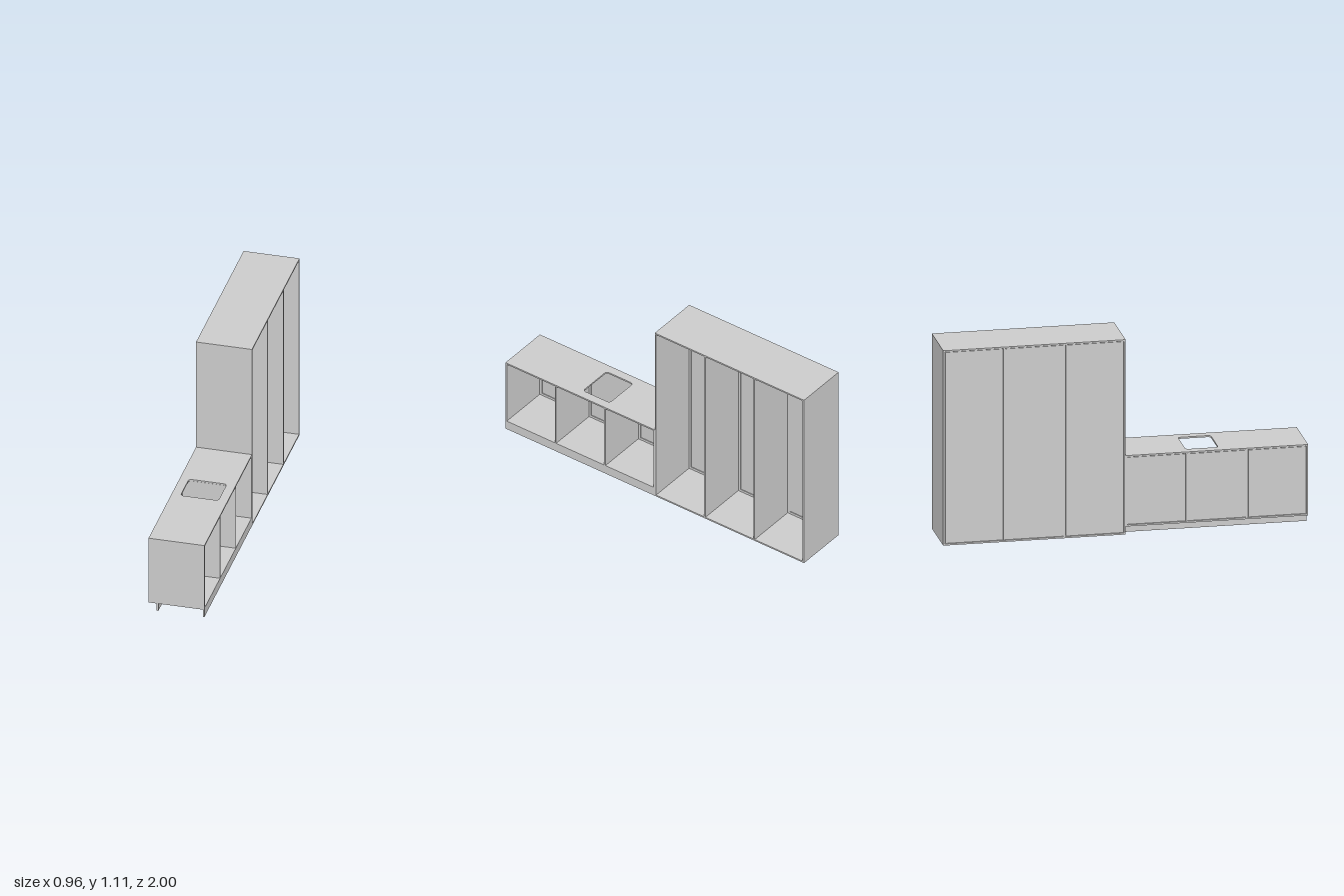
import * as THREE from 'three';

const HALF_L = 1.005, HALF_D = 0.156, T = 0.009;

export function createModel() {
  const model = new THREE.Group();
  model.name = 'cabinetRow';
  const mat = new THREE.MeshStandardMaterial({ color: 0xcccccc });

  // Box given by its limits: x is depth (open side +x), z runs along the row
  function board(parent, name, x0, x1, y0, y1, z0, z1) {
    const m = new THREE.Mesh(new THREE.BoxGeometry(x1 - x0, y1 - y0, z1 - z0), mat);
    m.position.set((x0 + x1) / 2, (y0 + y1) / 2, (z0 + z1) / 2);
    m.name = name;
    parent.add(m);
  }

  // Three-bay carcass, open on +x, closed by inset panels on -x
  function cabinet(name, y0, y1, z0, z1, hasTop) {
    const g = new THREE.Group();
    g.name = name;
    board(g, 'floor', -HALF_D, HALF_D, y0, y0 + T, z0, z1);
    if (hasTop) board(g, 'top', -HALF_D, HALF_D, y1 - T, y1, z0, z1);
    const a = y0 + T, b = y1 - T;
    board(g, 'endPanel', -HALF_D, HALF_D, a, b, z0, z0 + T);
    board(g, 'endPanel', -HALF_D, HALF_D, a, b, z1 - T, z1);

    const pitch = (z1 - z0 - T) / 3;
    for (let i = 0; i < 3; i++) {
      const c = z0 + i * pitch + T, d = z0 + (i + 1) * pitch;
      if (i > 0) board(g, 'divider', -0.152, HALF_D, a, b, c - T, c);
      // Closing panel and the narrow rim on its inner side
      const gap = 0.003, w = 0.014, r0 = -0.146, r1 = -0.142;
      board(g, 'backPanel', -0.152, r0, a + gap, b - gap, c + gap, d - gap);
      board(g, 'rimSide', r0, r1, a, b, c, c + w);
      board(g, 'rimSide', r0, r1, a, b, d - w, d);
      board(g, 'rimBottom', r0, r1, a, a + w, c + w, d - w);
      board(g, 'rimTop', r0, r1, b - w, b, c + w, d - w);
    }
    model.add(g);
    return g;
  }

  cabinet('tallCabinet', 0, 1.105, -HALF_L, 0, true);
  const low = cabinet('lowCabinet', 0.045, 0.447, 0, HALF_L, false);

  // Worktop with a rounded sink cutout
  const top = new THREE.Shape([
    new THREE.Vector2(-HALF_D, 0), new THREE.Vector2(HALF_D, 0),
    new THREE.Vector2(HALF_D, HALF_L), new THREE.Vector2(-HALF_D, HALF_L),
  ]);
  const hx = 0.106, hz = 0.09, r = 0.018, cz = 0.43;
  const hole = new THREE.Path();
  hole.absarc(hx - r, cz + hz - r, r, 0, Math.PI / 2);
  hole.absarc(-hx + r, cz + hz - r, r, Math.PI / 2, Math.PI);
  hole.absarc(-hx + r, cz - hz + r, r, Math.PI, Math.PI * 1.5);
  hole.absarc(hx - r, cz - hz + r, r, Math.PI * 1.5, Math.PI * 2);
  hole.closePath();
  top.holes.push(hole);
  const topGeo = new THREE.ExtrudeGeometry(top, { depth: T, bevelEnabled: false, curveSegments: 6 });
  topGeo.rotateX(Math.PI / 2);
  const worktop = new THREE.Mesh(topGeo, mat);
  worktop.position.y = 0.447;
  worktop.name = 'worktop';
  low.add(worktop);

  // Plinth boards: flush on the open side, set back on the closed side
  board(low, 'openSidePlinth', HALF_D - T, HALF_D, 0, 0.045, 0, HALF_L);
  board(low, 'closedSidePlinth', -0.11, -0.11 + T, 0, 0.045, 0, HALF_L);

  // The whole row stands at an angle
  model.rotation.y = -0.3363;
  return model;
}
